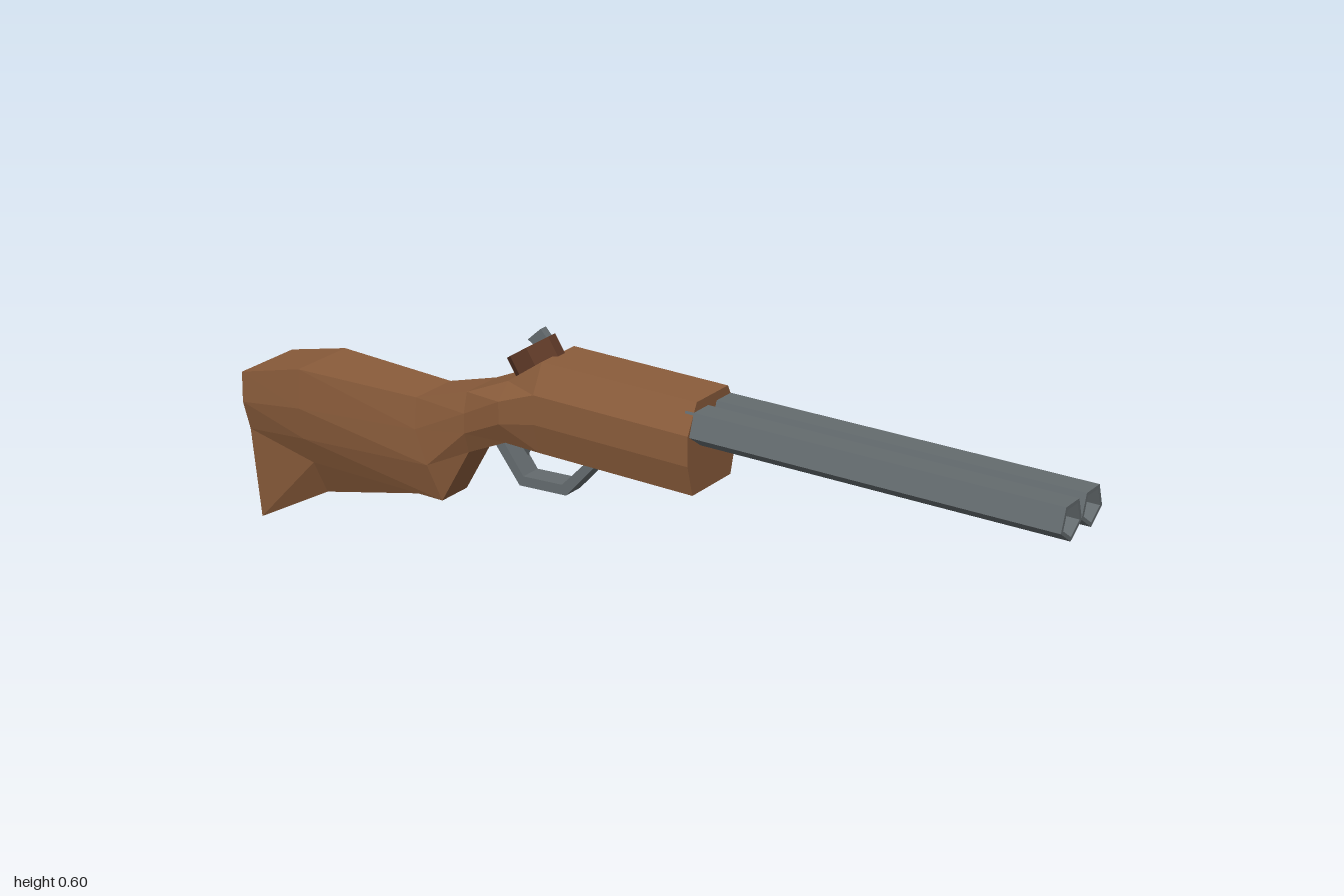
import * as THREE from 'three';

const material = (name, color) => {
  const m = new THREE.MeshStandardMaterial({ color, flatShading: true });
  m.name = name;
  return m;
};

// Unindexed geometry from a list of triangles and quads, corners counter-clockwise
function facesGeometry(faces) {
  const pos = [];
  for (const f of faces) {
    for (let k = 1; k < f.length - 1; k++) pos.push(...f[0], ...f[k], ...f[k + 1]);
  }
  const g = new THREE.BufferGeometry();
  g.setAttribute('position', new THREE.Float32BufferAttribute(pos, 3));
  g.computeVertexNormals();
  return g;
}

// Skin between rings that run down the +z side and up the -z side, advancing in +x
function loftFaces(rings, skip = () => false) {
  const faces = [];
  const n = rings[0].length;
  for (let i = 0; i < rings.length - 1; i++) {
    for (let j = 0; j < n; j++) {
      if (skip(i, j)) continue;
      const k = (j + 1) % n;
      faces.push([rings[i][j], rings[i][k], rings[i + 1][k], rings[i + 1][j]]);
    }
  }
  return faces;
}

function capFaces(ring, facesForward) {
  const c = [0, 1, 2].map(a => ring.reduce((s, p) => s + p[a], 0) / ring.length);
  return ring.map((p, j) => {
    const q = ring[(j + 1) % ring.length];
    return facesForward ? [c, p, q] : [c, q, p];
  });
}

// Half section: top, upper side, lower side, bottom edge as [x, y, halfWidth]; then keel height
function bodyRing(half, keelY) {
  const keel = [half[3][0], keelY, 0];
  const mirror = half.map(([x, y, z]) => [x, y, -z]).reverse();
  return [...half, keel, ...mirror];
}

const receiverRing = x =>
  bodyRing([[x, 0.553, 0.055], [x, 0.49, 0.086], [x, 0.425, 0.086], [x, 0.357, 0.068]], 0.357);

export function createModel() {
  const model = new THREE.Group();
  model.name = 'shotgun';
  const wood = material('wood', 0x8a5c3b);
  const darkWood = material('darkWood', 0x5e3927);
  const steel = material('steel', 0x646b6e);
  const add = (name, geometry, mat, parent = model) => {
    const mesh = new THREE.Mesh(geometry, mat);
    mesh.name = name;
    parent.add(mesh);
    return mesh;
  };

  // Stock and receiver in one skin, with an opening left for the port
  const rings = [
    bodyRing([[-1, 0.36, 0.083], [-1, 0.29, 0.085], [-1, 0.22, 0.065], [-1, 0, 0.042]], 0),
    bodyRing([[-0.84, 0.4, 0.078], [-0.84, 0.31, 0.082], [-0.84, 0.235, 0.07], [-0.84, 0.17, 0.042]], 0.085),
    bodyRing([[-0.53, 0.4, 0.058], [-0.53, 0.33, 0.066], [-0.5, 0.255, 0.066], [-0.48, 0.17, 0.042]], 0.17),
    bodyRing([[-0.4, 0.44, 0.05], [-0.4, 0.395, 0.062], [-0.4, 0.35, 0.062], [-0.405, 0.3, 0.042]], 0.3),
    bodyRing([[-0.29, 0.49, 0.052], [-0.29, 0.455, 0.086], [-0.29, 0.405, 0.086], [-0.29, 0.357, 0.065]], 0.357),
    ...[-0.2, -0.08, 0.06, 0.18].map(receiverRing),
  ];
  const portSegment = 6, portSide = 6;
  add('stockAndReceiver', facesGeometry([
    ...loftFaces(rings, (i, j) => i === portSegment && j === portSide),
    ...capFaces(rings[0], false),
    ...capFaces(rings[rings.length - 1], true),
  ]), wood);

  // Recessed port on the far side
  const outer = [[-0.08, 0.425], [-0.08, 0.49], [0.06, 0.49], [0.06, 0.425]];
  const at = z => outer.map(([x, y]) => [x, y, z]);
  const rim = at(-0.086), back = at(-0.045);
  const portFaces = [[...back]];
  for (let j = 0; j < 4; j++) {
    const k = (j + 1) % 4;
    portFaces.push([rim[j], rim[k], back[k], back[j]]);
  }
  add('portRecess', facesGeometry(portFaces), wood);

  // Twin five-sided hollow barrels, rising slightly toward the muzzle
  const pentagon = (x, r, y, z) => Array.from({ length: 5 }, (_, j) => {
    const a = Math.PI * (0.3 + 0.4 * j);
    return [x, y + r * Math.sin(a), z - r * Math.cos(a) * -1];
  }).reverse();
  for (const side of [1, -1]) {
    const z = side * 0.04;
    const path = [[0.16, 0.043, 0.499], [1, 0.043, 0.506], [1, 0.034, 0.506], [0.3, 0.034, 0.5]];
    const barrelRings = path.map(([x, r, y]) => pentagon(x, r, y, z));
    add(side > 0 ? 'nearBarrel' : 'farBarrel', facesGeometry([
      ...loftFaces(barrelRings),
      ...capFaces(barrelRings[0], false),
      ...capFaces(barrelRings[3], true),
    ]), steel);
  }

  // Pointed hammer block lying on the sloped rear of the receiver
  const outline = new THREE.Shape([
    [-0.062, 0.016], [-0.03, 0.04], [0.02, 0.04], [0.062, 0.012],
    [0.062, -0.012], [0.02, -0.04], [-0.03, -0.04], [-0.062, -0.016],
  ].map(p => new THREE.Vector2(...p)));
  const block = new THREE.ExtrudeGeometry(outline, { depth: 0.045, bevelEnabled: false });
  block.rotateX(-Math.PI / 2);
  const hammer = add('hammerBlock', block, darkWood);
  hammer.position.set(-0.243, 0.519, 0);
  hammer.rotation.z = 0.58;

  // Steel spur on top of the block
  const spurShape = new THREE.Shape([
    [-0.27, 0.572], [-0.237, 0.602], [-0.198, 0.562], [-0.225, 0.545],
  ].map(p => new THREE.Vector2(...p)));
  add('hammerSpur', new THREE.ExtrudeGeometry(spurShape, { depth: 0.018, bevelEnabled: false })
    .translate(0, 0, -0.009), steel);

  // Trigger guard: a bent strap
  const strap = new THREE.Shape([
    [-0.365, 0.35], [-0.285, 0.248], [-0.165, 0.255], [-0.07, 0.36],
    [-0.095, 0.36], [-0.175, 0.277], [-0.275, 0.271], [-0.335, 0.35],
  ].map(p => new THREE.Vector2(...p)));
  add('triggerGuard', new THREE.ExtrudeGeometry(strap, { depth: 0.05, bevelEnabled: false })
    .translate(0, 0, -0.025), steel);

  // Trigger: a tapering wedge under the receiver
  const trigger = add('trigger', new THREE.ConeGeometry(0.03, 0.055, 4), steel);
  trigger.rotation.x = Math.PI;
  trigger.scale.set(0.65, 1, 1.35);
  trigger.position.set(-0.28, 0.335, 0);

  return model;
}
